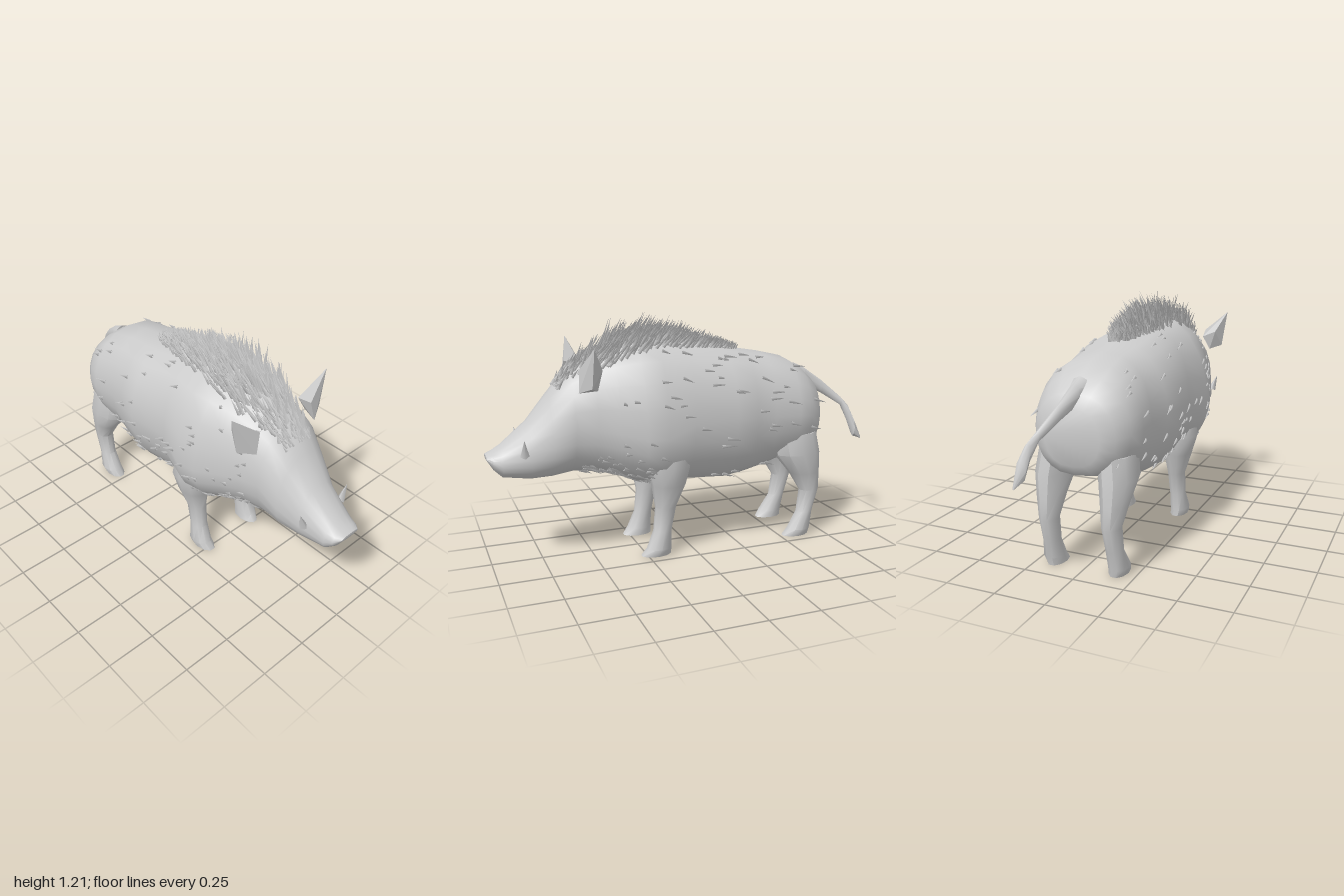
import * as THREE from 'three';
import { mergeGeometries, toCreasedNormals } from 'three/addons/utils/BufferGeometryUtils.js';
import { ConvexGeometry } from 'three/addons/geometries/ConvexGeometry.js';

const V = (x, y, z) => new THREE.Vector3(x, y, z);

// Body cross-sections from snout to rump: z, top, widest height, bottom, half width
const BODY = [
  [1.0, 0.56, 0.55, 0.54, 0.055], [0.97, 0.575, 0.53, 0.49, 0.083], [0.93, 0.6, 0.515, 0.45, 0.097],
  [0.8, 0.71, 0.54, 0.43, 0.125], [0.7, 0.83, 0.6, 0.435, 0.165], [0.6, 0.945, 0.69, 0.45, 0.195],
  [0.5, 1.0, 0.68, 0.45, 0.215], [0.4, 1.04, 0.66, 0.425, 0.25], [0.28, 1.07, 0.63, 0.375, 0.295],
  [0.18, 1.075, 0.63, 0.365, 0.31], [0.03, 1.06, 0.68, 0.355, 0.268], [-0.18, 1.03, 0.7, 0.345, 0.302],
  [-0.3, 1.01, 0.69, 0.36, 0.278], [-0.42, 0.99, 0.68, 0.385, 0.247], [-0.55, 0.96, 0.68, 0.43, 0.262],
  [-0.63, 0.91, 0.67, 0.46, 0.238], [-0.7, 0.85, 0.66, 0.48, 0.195], [-0.735, 0.79, 0.66, 0.53, 0.135],
];
const ROUNDNESS = 0.78;

// Point on the hide at a given z and angle (0 = left flank, PI/2 = spine)
function hide(z, a) {
  let i = 0;
  while (i < BODY.length - 2 && BODY[i + 1][0] > z) i++;
  const p = BODY[i], q = BODY[i + 1], t = (p[0] - z) / (p[0] - q[0]);
  const [, top, mid, bottom, w] = p.map((v, k) => v + (q[k] - v) * t);
  const c = Math.cos(a), s = Math.sin(a);
  const x = w * Math.sign(c) * Math.abs(c) ** ROUNDNESS;
  return V(x, mid + (s > 0 ? top - mid : mid - bottom) * s, z);
}

// Skin a list of equal rings and close both ends
function loft(rings) {
  const n = rings[0].length, points = rings.flat(), index = [];
  for (let i = 0; i < rings.length - 1; i++) {
    for (let j = 0; j < n; j++) {
      const a = i * n + j, b = i * n + (j + 1) % n;
      index.push(a, a + n, b, b, a + n, b + n);
    }
  }
  const last = (rings.length - 1) * n;
  for (let j = 1; j < n - 1; j++) {
    index.push(0, j, j + 1, last, last + j + 1, last + j);
  }
  const g = new THREE.BufferGeometry().setFromPoints(points);
  g.setIndex(index);
  return toCreasedNormals(g, 0.75);
}

const ring = (n, fn) => Array.from({ length: n }, (_, j) => fn((j / n) * Math.PI * 2));

// Three-sided spike from a base point along a direction
function spike(base, dir, length, radius, sides = 3) {
  const g = new THREE.ConeGeometry(radius, length, sides, 1, true);
  g.translate(0, length * 0.4, 0);
  g.applyQuaternion(new THREE.Quaternion().setFromUnitVectors(V(0, 1, 0), dir.clone().normalize()));
  return g.translate(base.x, base.y, base.z);
}

export function createModel() {
  const model = new THREE.Group();
  const hideGrey = new THREE.MeshStandardMaterial({ color: 0xcccccc, side: THREE.DoubleSide });
  hideGrey.name = 'hideGrey';
  const add = (name, geometry) => {
    const mesh = new THREE.Mesh(geometry, hideGrey);
    mesh.name = name;
    model.add(mesh);
  };
  let seed = 7;
  const rand = () => (seed = (seed * 16807) % 2147483647) / 2147483647;

  // Trunk, head and snout in one skin
  add('body', loft(BODY.map(([z]) => ring(20, (a) => hide(z, a)))));

  // Legs: y, x, z, half width, half depth, from hoof to thigh
  const legs = {
    frontLeg: [
      [0.003, 0.16, 0.205, 0.045, 0.078], [0.04, 0.167, 0.19, 0.05, 0.064], [0.13, 0.16, 0.17, 0.042, 0.047],
      [0.25, 0.158, 0.152, 0.046, 0.054], [0.37, 0.17, 0.14, 0.075, 0.088], [0.47, 0.178, 0.145, 0.095, 0.115],
      [0.57, 0.178, 0.155, 0.085, 0.105],
    ],
    hindLeg: [
      [0.003, 0.16, -0.59, 0.045, 0.075], [0.04, 0.167, -0.607, 0.05, 0.064], [0.13, 0.16, -0.643, 0.042, 0.044],
      [0.25, 0.158, -0.668, 0.046, 0.054], [0.35, 0.16, -0.635, 0.064, 0.085], [0.46, 0.16, -0.587, 0.085, 0.13],
      [0.57, 0.145, -0.57, 0.085, 0.13],
    ],
  };
  for (const s of [1, -1]) {
    const side = s > 0 ? 'Left' : 'Right';
    for (const [name, rows] of Object.entries(legs)) {
      add(name + side, loft(rows.map(([y, x, z, rx, rz]) =>
        ring(10, (a) => V(s * x + rx * Math.cos(a), y, z + rz * Math.sin(a))))));
    }

    // Pointed ear, bulging at the back
    add('ear' + side, new ConvexGeometry([
      V(s * 0.303, 1.075, 0.535), V(s * 0.165, 0.965, 0.575), V(s * 0.272, 0.89, 0.54),
      V(s * 0.19, 0.86, 0.585), V(s * 0.18, 0.94, 0.485), V(s * 0.215, 0.87, 0.5), V(s * 0.25, 0.97, 0.485),
    ]));

    // Short upturned tusk
    add('tusk' + side, spike(V(s * 0.132, 0.575, 0.835), V(s * 0.025, 0.07, 0.003), 0.09, 0.022, 4));
  }

  // Tail: z, y, x, half width, half height
  const tail = [
    [-0.64, 0.87, 0, 0.045, 0.045], [-0.7, 0.84, 0, 0.032, 0.048], [-0.8, 0.78, 0.025, 0.018, 0.035],
    [-0.9, 0.7, 0.07, 0.014, 0.022], [-0.93, 0.635, 0.1, 0.016, 0.045], [-0.955, 0.56, 0.12, 0.025, 0.05],
    [-1.0, 0.5, 0.13, 0.004, 0.006],
  ];
  add('tail', loft(tail.map(([z, y, x, rx, ry]) =>
    ring(8, (a) => V(x + rx * Math.cos(a), y + ry * Math.sin(a), z)))));

  // Bristly mane, tallest over the shoulders and narrowing along the back
  const mane = [];
  for (let i = 0; i < 800; i++) {
    const z = 0.66 - 0.94 * rand() ** 1.1;
    const t = Math.min(1, (0.74 - z) / 0.32, (z + 0.3) / 0.55);
    const u = rand() * 2 - 1;
    const reach = (Math.abs(u) * 0.15 * Math.sqrt(t)) / hide(z, 0).x;
    const a = Math.acos(Math.sign(u) * reach ** (1 / ROUNDNESS));
    const dir = V(u * 0.25 + (rand() - 0.5) * 0.6, 0.8, -0.6 + (rand() - 0.5) * 0.7);
    const length = (0.03 + 0.14 * t * (1 - 0.4 * u * u)) * (0.7 + 0.4 * rand());
    mane.push(spike(hide(z, a), dir, length, 0.01));
  }
  add('mane', mergeGeometries(mane));

  // Coarse tufts lying back along the flanks, cheeks and rump
  const tufts = [];
  for (let i = 0; i < 130; i++) {
    const z = 0.55 - 1.22 * rand();
    const a = (rand() < 0.5 ? 0 : Math.PI) + (rand() - 0.5) * 2.4;
    tufts.push(spike(hide(z, a), V(Math.cos(a) * 0.1, -0.4 * rand(), -0.8), 0.04 + 0.04 * rand(), 0.01));
  }
  // Beard under the throat and chest
  for (let i = 0; i < 100; i++) {
    const z = 0.22 + 0.38 * rand();
    const a = -Math.PI / 2 + (rand() - 0.5) * 1.8;
    tufts.push(spike(hide(z, a), V((rand() - 0.5) * 0.4, -0.4, -0.8), 0.04 + 0.03 * rand(), 0.01));
  }
  add('furTufts', mergeGeometries(tufts));

  return model;
}
